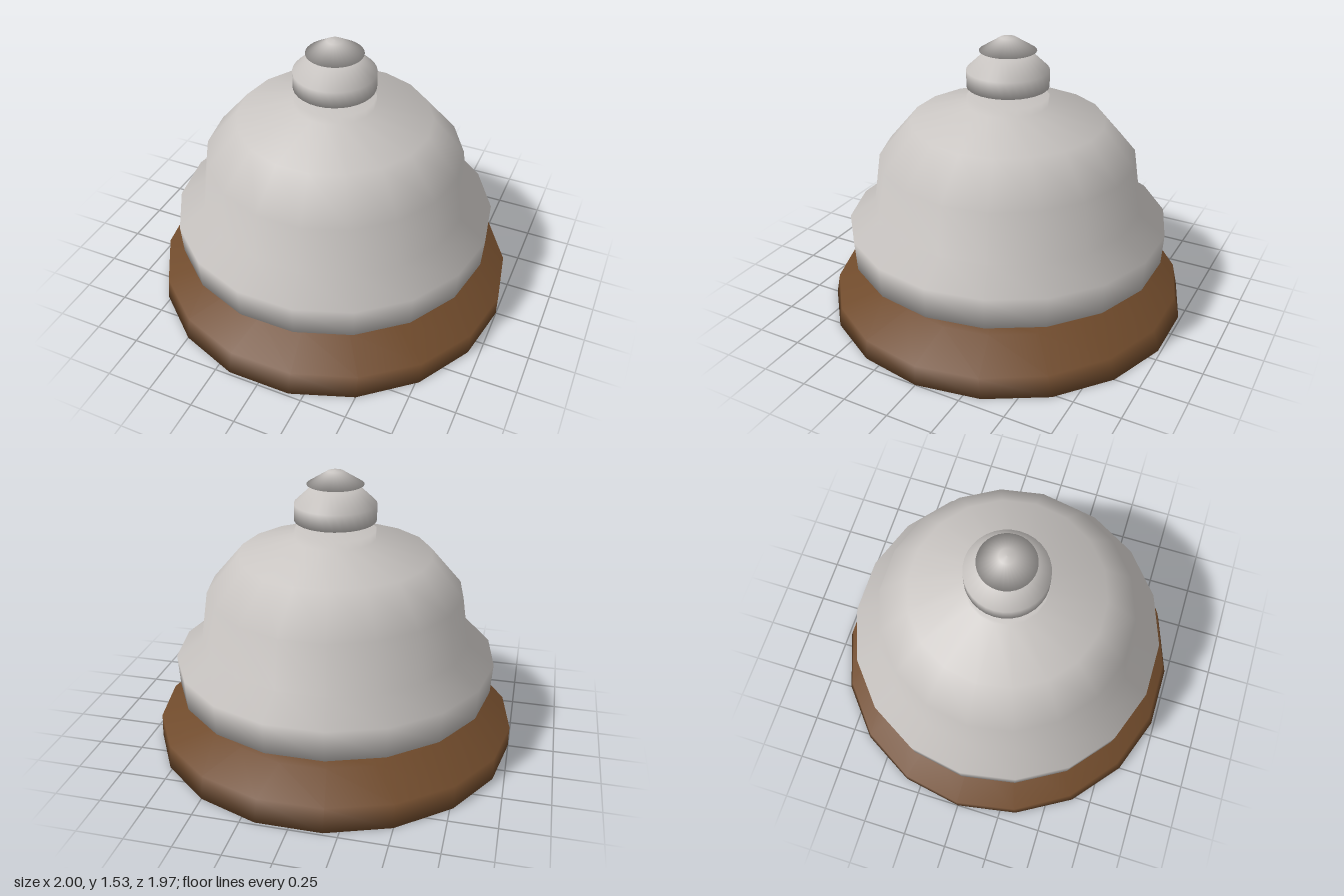
import * as THREE from 'three';

// Turned part: profile pairs [radius, height] run from bottom centre to top centre
function turned(name, profile, material, sides) {
  const points = profile.map(([r, y]) => new THREE.Vector2(r, y));
  const mesh = new THREE.Mesh(new THREE.LatheGeometry(points, sides, Math.PI / 2), material);
  mesh.name = name;
  return mesh;
}

export function createModel() {
  const wood = new THREE.MeshStandardMaterial({ color: 0x6f4a2b });
  wood.name = 'brown wood';
  const metal = new THREE.MeshStandardMaterial({ color: 0xc8c4c1 });
  metal.name = 'pale metal';

  const group = new THREE.Group();
  group.name = 'deskBell';

  // Wooden base; the upper rim ring is slightly narrower front to back
  const base = turned('base', [
    [0, 0], [1, 0], [1, 0.12], [0.725, 0.18], [0.71, 0.262], [0, 0.28],
  ], wood, 18);
  const pos = base.geometry.attributes.position;
  for (let i = 0; i < pos.count; i++) {
    if (Math.abs(pos.getY(i) - 0.12) < 0.001) pos.setZ(i, pos.getZ(i) * 0.967);
  }
  group.add(base);

  // Post between base and bell
  group.add(turned('post', [[0.105, 0.26], [0.11, 0.34]], metal, 18));

  // Bell with flared skirt, domed body and short collar
  group.add(turned('bell', [
    [0, 0.33], [0.875, 0.33], [0.885, 0.5], [0.74, 0.605], [0.7, 0.875],
    [0.525, 1.08], [0.22, 1.167], [0.22, 1.212], [0, 1.212],
  ], metal, 18));

  // Plunger: thin rod, knob and pointed cap
  group.add(turned('plungerRod', [[0.044, 1.2], [0.044, 1.28]], metal, 24));
  group.add(turned('knob', [
    [0, 1.265], [0.22, 1.265], [0.22, 1.355], [0.13, 1.44], [0, 1.44],
  ], metal, 32));
  group.add(turned('capRod', [[0.05, 1.43], [0.05, 1.47]], metal, 24));
  group.add(turned('cap', [
    [0, 1.458], [0.152, 1.458], [0.042, 1.526], [0, 1.53],
  ], metal, 32));

  return group;
}
